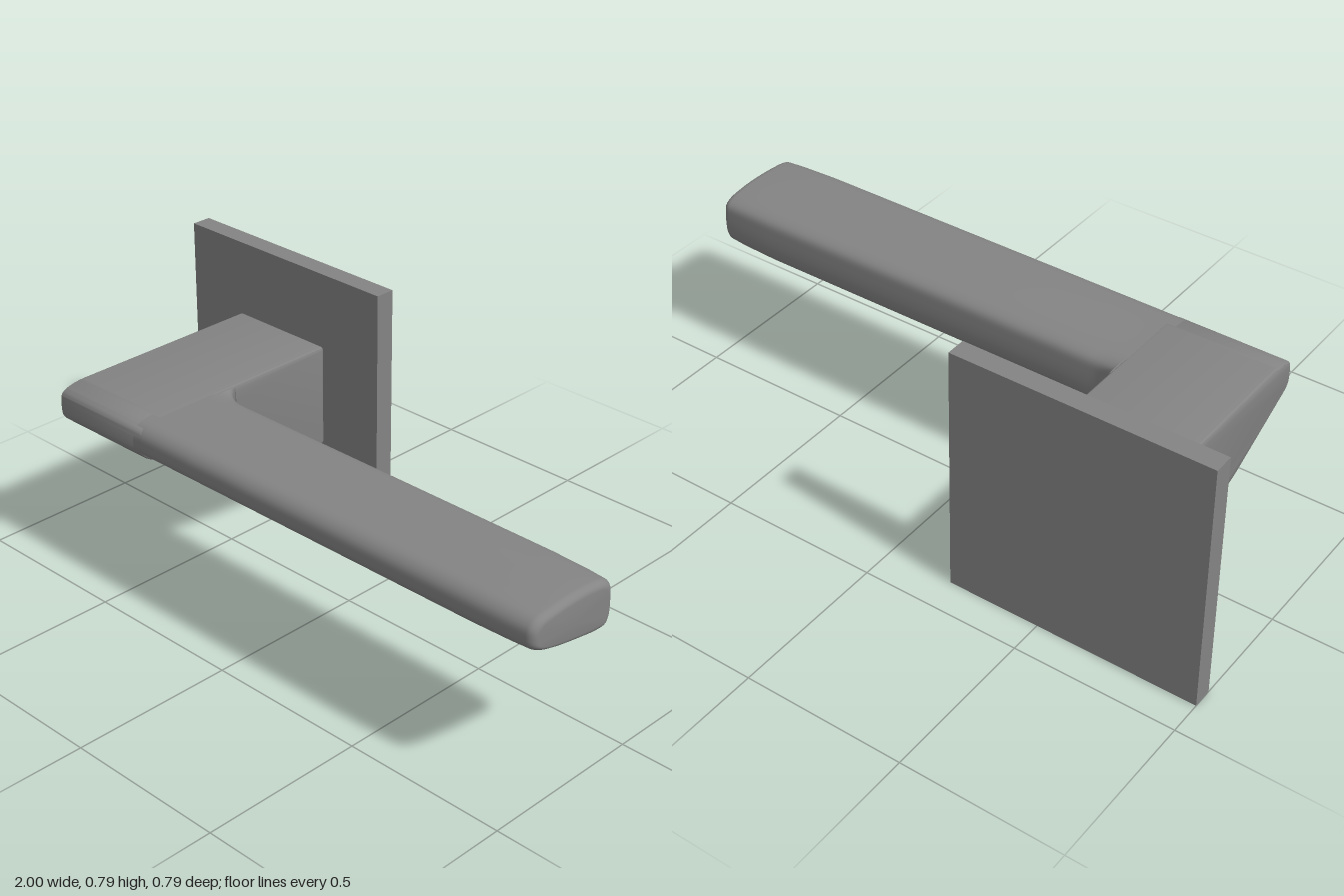
import * as THREE from 'three';
import { toCreasedNormals } from 'three/addons/utils/BufferGeometryUtils.js';

const { smoothstep } = THREE.MathUtils;
const material = new THREE.MeshStandardMaterial({ color: 0x848484 }); // dark grey metal

function part(name, geometry) {
  const mesh = new THREE.Mesh(geometry, material);
  mesh.name = name;
  return mesh;
}

// Neck: side profile extruded across x with small rounded edges
function neckGeometry() {
  const x0 = -0.785, x1 = -0.425, bevel = 0.01;
  const s = new THREE.Shape(); // shape x is -z
  s.moveTo(0.328, 0.245);
  s.lineTo(0.328, 0.55);
  s.quadraticCurveTo(0.328, 0.56, 0.318, 0.56);
  s.lineTo(-0.31, 0.56);
  s.quadraticCurveTo(-0.385, 0.556, -0.392, 0.53);
  s.quadraticCurveTo(-0.396, 0.5, -0.392, 0.475);
  s.quadraticCurveTo(-0.388, 0.457, -0.36, 0.442);
  s.lineTo(-0.15, 0.331);
  s.bezierCurveTo(-0.05, 0.277, 0.05, 0.272, 0.2, 0.247);
  s.lineTo(0.31, 0.233);
  s.quadraticCurveTo(0.328, 0.23, 0.328, 0.245);
  const g = new THREE.ExtrudeGeometry(s, {
    depth: x1 - x0 - 2 * bevel, bevelEnabled: true, bevelSize: bevel,
    bevelThickness: bevel, bevelOffset: -bevel, bevelSegments: 4, curveSegments: 12,
  });
  g.rotateY(Math.PI / 2).translate(x0 + bevel, 0, 0);
  return toCreasedNormals(g, 0.7);
}

// Lever: one rounded section lofted along x, flared at the root, rounded at the tip
function leverGeometry() {
  const section = [ // [z, y], top from back to front, then underneath
    [0.072, 0.5], [0.078, 0.535], [0.1, 0.551], [0.16, 0.562], [0.23, 0.565], [0.31, 0.561],
    [0.37, 0.551], [0.391, 0.53], [0.395, 0.5], [0.391, 0.475], [0.365, 0.455],
    [0.3, 0.433], [0.2, 0.412], [0.12, 0.4], [0.088, 0.403], [0.075, 0.425],
  ];
  const ring = new THREE.CatmullRomCurve3(
    section.map(([z, y]) => new THREE.Vector3(0, y, z)), true).getSpacedPoints(96).slice(0, -1);
  const n = ring.length, cy = 0.485, cz = 0.232, hy = 0.082, hz = 0.162;

  const stations = [[-0.46, 0]]; // [x, inset]
  for (let i = 0; i <= 14; i++) stations.push([-0.425 + 0.2 * (i / 14) ** 1.8, 0]);
  for (const x of [-0.1, 0, 0.4, 0.8]) stations.push([x, 0]);
  stations.push([0.92, 0.003]);
  for (let i = 0; i <= 8; i++) {
    const a = (i / 8) * Math.PI / 2;
    stations.push([0.97 + 0.025 * Math.sin(a), 0.006 + 0.022 * (1 - Math.cos(a))]);
  }

  const pos = [], index = [];
  const fillet = (t) => {
    const u = 1 - Math.min(Math.max(t, 0), 1);
    return 1 - Math.sqrt(1 - u * u);
  };
  for (const [x, inset] of stations) {
    const side = fillet((x + 0.425) / 0.08), under = fillet((x + 0.425) / 0.2);
    const flat = 1 - smoothstep(x, -0.425, 0); // top levels out into the neck
    for (const p of ring) {
      const back = smoothstep(0.36 - p.z, 0, 0.26);
      const rear = smoothstep(0.2 - p.z, 0, 0.12);
      const low = smoothstep(0.5 - p.y, 0, 0.08);
      const high = smoothstep(p.y, 0.5, 0.54);
      const y = p.y - 0.04 * under * low * back
        + Math.max(0.558 - p.y, 0) * side * high * back
        - Math.max(p.y - 0.5595, 0) * flat;
      const z = p.z - 0.04 * side * rear;
      pos.push(x, cy + (y - cy) * (1 - inset / hy), cz + (z - cz) * (1 - inset / hz));
    }
  }
  for (let j = 0; j < stations.length - 1; j++) {
    for (let i = 0; i < n; i++) {
      const a = j * n + i, b = j * n + (i + 1) % n;
      index.push(a, b, a + n, b, b + n, a + n);
    }
  }
  // Slightly domed tip
  const last = (stations.length - 1) * n, tip = pos.length / 3;
  pos.push(1, cy, cz);
  for (let i = 0; i < n; i++) index.push(tip, last + i, last + (i + 1) % n);

  const g = new THREE.BufferGeometry();
  g.setAttribute('position', new THREE.Float32BufferAttribute(pos, 3));
  g.setIndex(index);
  g.computeVertexNormals();
  return g;
}

export function createModel() {
  const group = new THREE.Group();
  group.name = 'doorHandle';

  // Square wall plate
  const plate = part('wallPlate', new THREE.BoxGeometry(0.79, 0.791, 0.062));
  plate.position.set(-0.605, 0.3955, -0.364);
  group.add(plate);

  // Round collar between plate and neck
  const collar = part('collar', new THREE.CylinderGeometry(0.079, 0.079, 0.03, 48));
  collar.rotation.x = Math.PI / 2;
  collar.position.set(-0.605, 0.396, -0.328);
  group.add(collar);

  group.add(part('neck', neckGeometry()));
  group.add(part('lever', leverGeometry()));

  // Set screw ring under the neck, with a shallow socket
  const ring = [[0, 0.003], [0.022, 0.003], [0.022, -0.003], [0.036, -0.003], [0.04, 0], [0.04, 0.012]];
  const screwGeometry = new THREE.LatheGeometry(ring.map(([r, y]) => new THREE.Vector2(r, y)), 32);
  const screw = part('setScrew', toCreasedNormals(screwGeometry, 0.5));
  screw.position.set(-0.605, 0.247, -0.205);
  screw.rotation.x = -0.08;
  group.add(screw);

  return group;
}
